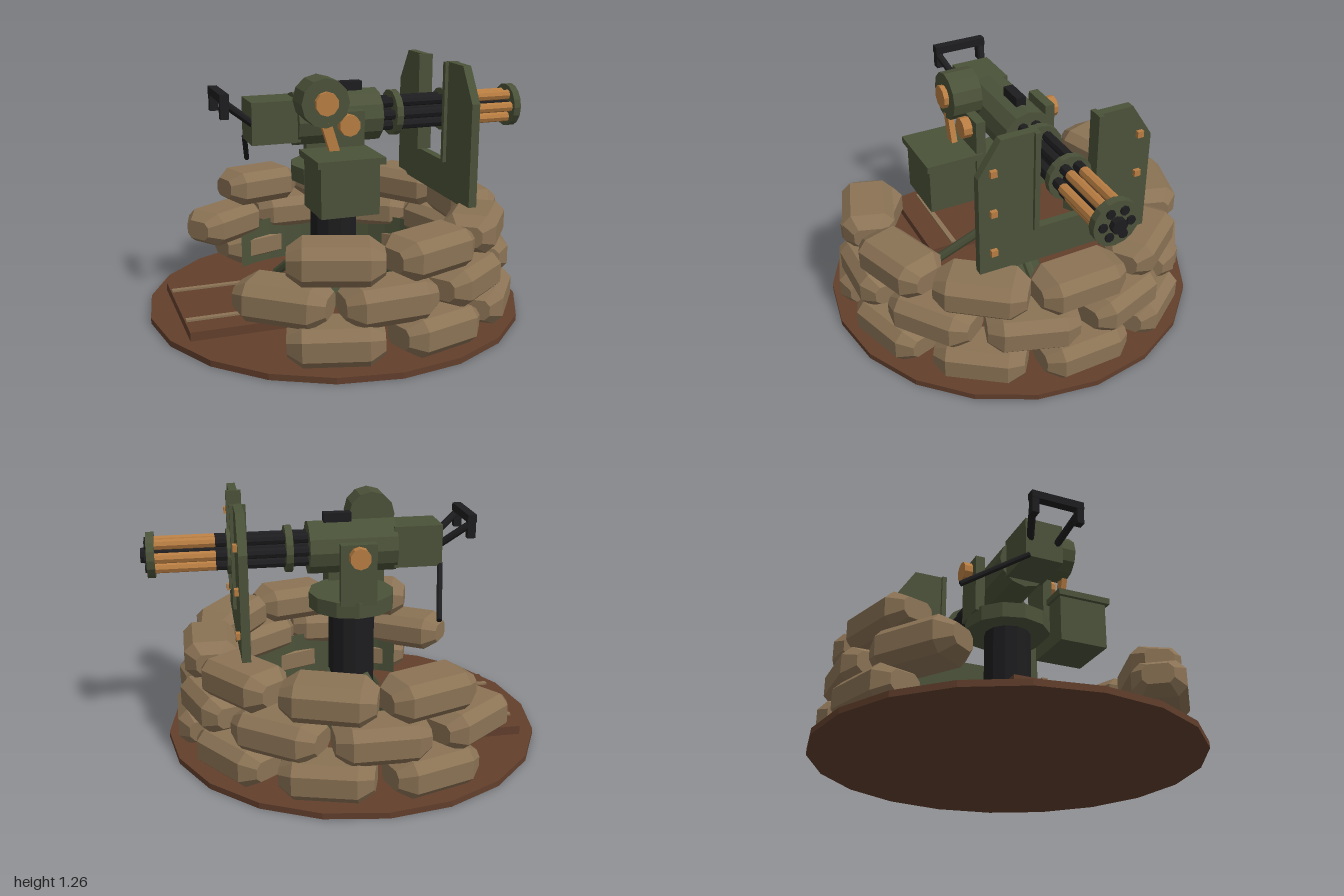
import * as THREE from 'three';

const paint = (name, color) => Object.assign(new THREE.MeshStandardMaterial({ color, flatShading: true }), { name });

export function createModel() {
  const root = new THREE.Group();
  root.name = 'gunEmplacement';
  const green = paint('olive green', 0x4b5239);
  const black = paint('gunmetal black', 0x1d1d1f);
  const copper = paint('copper', 0xb87d42);
  const earth = paint('brown earth', 0x623f2c);
  const canvas = paint('tan canvas', 0x8b7355);
  const CX = -0.04, AXIS = 0.99; // emplacement centre, barrel height

  const add = (name, geometry, material, x = 0, y = 0, z = 0, parent = root) => {
    const mesh = new THREE.Mesh(geometry, material);
    mesh.name = name;
    mesh.position.set(x, y, z);
    parent.add(mesh);
    return mesh;
  };
  // box given by its limits
  const box = (name, mat, x0, x1, y0, y1, z0, z1) =>
    add(name, new THREE.BoxGeometry(x1 - x0, y1 - y0, z1 - z0), mat, (x0 + x1) / 2, (y0 + y1) / 2, (z0 + z1) / 2);
  // cylinders along x and along z
  const tubeX = (name, mat, x0, x1, r, sides, y = AXIS, z = 0) =>
    add(name, new THREE.CylinderGeometry(r, r, x1 - x0, sides).rotateZ(Math.PI / 2), mat, (x0 + x1) / 2, y, z);
  const tubeZ = (name, mat, z0, z1, r, sides, x, y) =>
    add(name, new THREE.CylinderGeometry(r, r, z1 - z0, sides).rotateX(Math.PI / 2), mat, x, y, (z0 + z1) / 2);
  // straight rod between two points
  const rod = (name, mat, a, b, r, sides = 8) => {
    const p = new THREE.Vector3(...a), q = new THREE.Vector3(...b);
    const mesh = add(name, new THREE.CylinderGeometry(r, r, p.distanceTo(q), sides), mat);
    mesh.position.copy(p).add(q).multiplyScalar(0.5);
    mesh.quaternion.setFromUnitVectors(new THREE.Vector3(0, 1, 0), q.sub(p).normalize());
    return mesh;
  };

  // ground disc and duckboard
  add('groundDisc', new THREE.CylinderGeometry(0.96, 0.96, 0.03, 20), earth, CX, 0.015, 0);
  box('footBoard', earth, -0.865, -0.32, 0.03, 0.075, -0.34, 0.34);
  for (const s of [-1, 1])
    box('footBoardStrip', canvas, -0.86, -0.33, 0.075, 0.085, s * 0.2 - 0.014, s * 0.2 + 0.014);

  // sandbag: octagonal cross-sections, pinched at both ends
  const bagGeometry = () => {
    const sections = [[-0.22, 0.05, 0.075, 0.025], [-0.15, 0.092, 0.13, 0.045],
      [0.15, 0.092, 0.13, 0.045], [0.22, 0.05, 0.075, 0.025]];
    const pos = [], index = [];
    for (const [x, h, d, c] of sections) {
      const ring = [[h, d - c], [h - c, d], [c - h, d], [-h, d - c], [-h, c - d], [c - h, -d], [h - c, -d], [h, c - d]];
      for (const [y, z] of ring) pos.push(x, y, z);
    }
    for (let i = 0; i < 3; i++)
      for (let j = 0; j < 8; j++) {
        const a = i * 8 + j, b = i * 8 + (j + 1) % 8;
        index.push(a, b, b + 8, a, b + 8, a + 8);
      }
    for (let j = 1; j < 7; j++) index.push(24, 24 + j, 25 + j, 0, j + 1, j);
    const g = new THREE.BufferGeometry();
    g.setAttribute('position', new THREE.Float32BufferAttribute(pos, 3));
    g.setIndex(index);
    g.computeVertexNormals();
    return g;
  };
  const bag = bagGeometry();
  // three staggered courses, open to the rear
  const courses = [{ y: 0.125, r: 0.78, n: 7 }, { y: 0.297, r: 0.755, n: 8 }, { y: 0.483, r: 0.73, n: 7 }];
  courses.forEach(({ y, r, n }, row) => {
    for (let i = 0; i < n; i++) {
      const a = (i - (n - 1) / 2) * Math.PI / 5;
      const mesh = add('sandbag', bag, canvas, CX + r * Math.cos(a), y, r * Math.sin(a));
      mesh.rotation.set(0, Math.PI / 2 - a, 0.025 * Math.sin(i * 2.3 + row));
    }
  });
  // lining inside the wall, facing inward
  const lining = new THREE.CylinderGeometry(0.66, 0.66, 0.25, 28, 1, true, -Math.PI / 2 - 2.15, 4.3).scale(-1, 1, 1);
  lining.computeVertexNormals();
  add('wallLining', lining, green, CX, 0.155, 0);

  // pedestal with three legs
  add('pedestalFoot', new THREE.CylinderGeometry(0.13, 0.19, 0.13, 12), green, CX, 0.095, 0);
  add('pedestalColumn', new THREE.CylinderGeometry(0.12, 0.12, 0.54, 12), black, CX, 0.42, 0);
  for (let i = 0; i < 3; i++) {
    const a = i * Math.PI * 2 / 3, c = Math.cos(a), s = Math.sin(a);
    rod('tripodLeg', green, [CX + 0.1 * c, 0.32, 0.1 * s], [CX + 0.42 * c, 0.05, 0.42 * s], 0.025);
  }
  add('turntable', new THREE.CylinderGeometry(0.22, 0.22, 0.08, 12), green, CX, 0.715, 0);
  for (const s of [-1, 1]) {
    box('yokeArm', green, -0.13, 0.05, 0.74, 1.05, s * 0.19 - 0.025, s * 0.19 + 0.025);
    tubeZ('trunnionKnob', copper, s * 0.235 - 0.025, s * 0.235 + 0.025, 0.053, 10, -0.04, AXIS);
  }

  // receiver and rear housing
  tubeX('receiver', green, -0.255, 0.185, 0.135, 12);
  box('rearHousing', green, -0.485, -0.24, 0.89, 1.1, -0.1, 0.1);
  box('topSight', black, -0.035, 0.105, 1.1, 1.165, -0.025, 0.025);

  // spade grips and firing lever
  box('gripCrossbar', black, -0.645, -0.6, 1.115, 1.155, -0.14, 0.14);
  for (const s of [-1, 1]) {
    box('gripPost', black, -0.643, -0.602, 1.035, 1.15, s * 0.12 - 0.018, s * 0.12 + 0.018);
    rod('gripStrut', black, [-0.61, 1.1, s * 0.12], [-0.47, 0.99, s * 0.07], 0.019);
  }
  rod('chargingLever', black, [-0.48, 0.9, -0.08], [-0.395, 0.71, -0.4], 0.014);

  // rotary barrels: black rear, copper front, dark bores
  tubeX('barrelCore', black, 0.18, 0.95, 0.043, 10);
  for (let i = 0; i < 6; i++) {
    const a = i * Math.PI / 3, y = AXIS + 0.068 * Math.sin(a), z = 0.068 * Math.cos(a);
    tubeX('barrelRear', black, 0.18, 0.64, 0.026, 8, y, z);
    tubeX('barrelFront', copper, 0.64, 0.94, 0.026, 8, y, z);
    tubeX('barrelBore', black, 0.965, 0.98, 0.022, 8, y, z);
  }
  tubeX('rearClamp', green, 0.265, 0.3, 0.118, 16);
  tubeX('middleClamp', green, 0.55, 0.585, 0.112, 16);
  tubeX('muzzleClamp', green, 0.932, 0.97, 0.113, 16);
  tubeX('muzzleHub', black, 0.96, 1.0, 0.038, 8);

  // ammunition feed on the left flank
  tubeZ('feedDrum', green, 0.13, 0.28, 0.12, 12, -0.17, 1.11);
  tubeZ('feedDrumHub', copper, 0.27, 0.305, 0.058, 10, -0.17, 1.11);
  const chute = box('feedChute', copper, -0.17, -0.12, 0.86, 1.02, 0.25, 0.28);
  chute.rotation.z = 0.3;
  box('ammoBox', green, -0.255, 0.035, 0.6, 0.85, 0.2, 0.46);
  box('ammoBoxLid', green, -0.275, 0.058, 0.845, 0.878, 0.185, 0.478);

  // notched shield with flanges and bolts
  const outline = [[-0.44, 0.56], [0.44, 0.56], [0.44, 1.09], [0.33, 1.26], [0.145, 1.26], [0.145, 0.745],
    [-0.145, 0.745], [-0.145, 1.26], [-0.33, 1.26], [-0.44, 1.09]];
  const plate = new THREE.ExtrudeGeometry(new THREE.Shape(outline.map(p => new THREE.Vector2(...p))),
    { depth: 0.042, bevelEnabled: false }).rotateY(Math.PI / 2);
  add('shield', plate, green, 0.513, 0, 0);
  for (const s of [-1, 1]) {
    box('shieldFlange', green, 0.495, 0.572, 0.745, 1.258, s * 0.158 - 0.013, s * 0.158 + 0.013);
    for (const y of [0.685, 0.9, 1.11])
      box('shieldBolt', copper, 0.55, 0.575, y - 0.016, y + 0.016, s * 0.372 - 0.016, s * 0.372 + 0.016);
  }
  return root;
}
